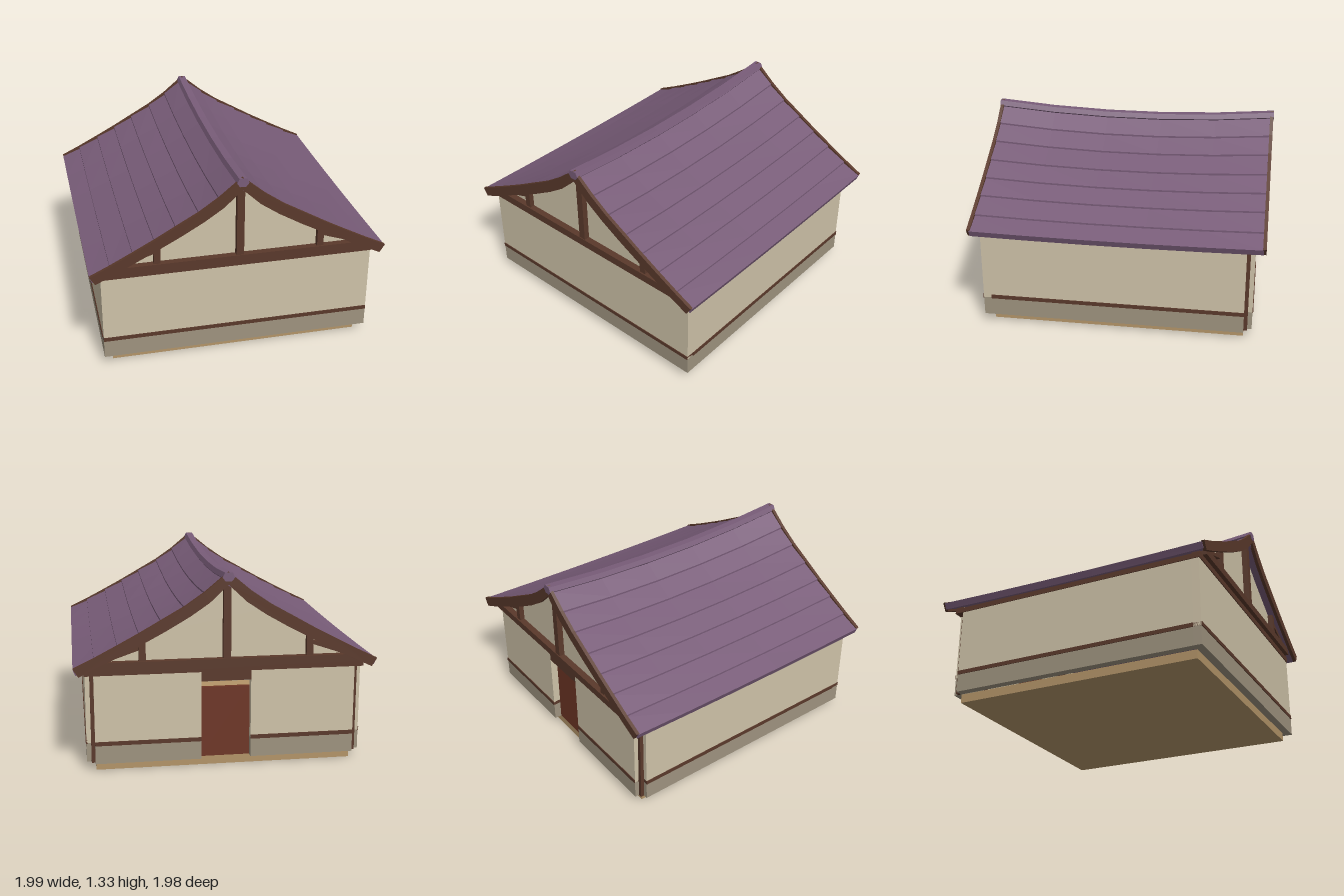
import * as THREE from 'three';

const mat = (name, color) => Object.assign(new THREE.MeshStandardMaterial({ color }), { name });

export function createModel() {
  const house = new THREE.Group();
  house.name = 'house';

  const plaster = mat('plaster', 0xcec2a8);
  const wainscot = mat('wainscot', 0x9e937f);
  const timber = mat('dark timber', 0x5a392b);
  const roofing = mat('purple roofing', 0x785c78);
  const footing = mat('footing', 0xb39468);
  const doorRed = mat('door red', 0x6e3626);

  const add = (name, geometry, material, parent = house) => {
    const m = new THREE.Mesh(geometry, material);
    m.name = name;
    parent.add(m);
    return m;
  };
  // Box given by its two extreme corners
  const block = (name, material, x0, x1, y0, y1, z0, z1, parent) => {
    const m = add(name, new THREE.BoxGeometry(x1 - x0, y1 - y0, z1 - z0), material, parent);
    m.position.set((x0 + x1) / 2, (y0 + y1) / 2, (z0 + z1) / 2);
    return m;
  };

  const OUT = 0.92, IN = 0.865;

  block('foundation', footing, -0.86, 0.86, 0, 0.06, -IN, IN);

  // Walls: dark lower panel, timber band, plaster
  const wall = (name, x0, x1, z0, z1, nx, nz) => {
    const g = new THREE.Group();
    g.name = name;
    house.add(g);
    block('lowerPanel', wainscot, x0, x1, 0.06, 0.19, z0, z1, g);
    block('plasterPanel', plaster, x0, x1, 0.19, 0.67, z0, z1, g);
    const e = 0.005;
    block('wallBand', timber,
      x0 - (nx < 0 ? e : 0), x1 + (nx > 0 ? e : 0), 0.185, 0.212,
      z0 - (nz < 0 ? e : 0), z1 + (nz > 0 ? e : 0), g);
  };
  wall('frontWall', -OUT, OUT, IN, OUT, 0, 1);
  wall('rightWall', -OUT, -IN, -IN, IN, -1, 0);
  wall('leftWall', IN, OUT, -IN, IN, 1, 0);
  wall('backWallRight', -IN, -0.165, -OUT, -IN, 0, -1);
  wall('backWallLeft', 0.165, IN, -OUT, -IN, 0, -1);

  // Recessed back doorway, open above the door
  block('door', doorRed, -0.165, 0.165, 0.06, 0.54, -0.87, -0.845);
  block('doorLintel', timber, -0.165, 0.165, 0.595, 0.67, -OUT, -IN);

  for (const s of [-1, 1]) {
    // Posts set in the notched back corners
    const c = s * 0.8775;
    block('cornerPost', timber, c - 0.0125, c + 0.0125, 0.06, 0.68, -0.89, -0.865);
    // Side wall plates
    const p = s * 0.895;
    block('wallPlate', timber, p - 0.03, p + 0.03, 0.66, 0.695, -0.925, 0.925);
  }

  // Lower edges of the roof courses, from ridge to eave
  const courses = [[0.03, 1.295], [0.15, 1.195], [0.28, 1.105], [0.43, 1.02],
    [0.57, 0.94], [0.71, 0.865], [0.86, 0.787], [0.995, 0.722]];
  const mirrored = half => [...half, ...half.slice().reverse().map(([x, y]) => [-x, y])];

  // Sweep a counter-clockwise section along z; the ridge sags more than the eaves
  const sweep = (section, zEnd) => {
    const pos = [];
    const zs = [-1, -0.6, -0.2, 0.2, 0.6, 1].map(t => t * zEnd);
    const pt = ([x, y], z) =>
      [x, y - 0.052 * (1 - 0.82 * Math.abs(x)) * (1 - (z / zEnd) ** 2), z];
    const n = section.length;
    for (let j = 0; j < zs.length - 1; j++) {
      for (let i = 0; i < n; i++) {
        const p = section[i], q = section[(i + 1) % n];
        const a = pt(p, zs[j]), b = pt(q, zs[j]), c = pt(q, zs[j + 1]), d = pt(p, zs[j + 1]);
        pos.push(...a, ...b, ...c, ...a, ...c, ...d);
      }
    }
    // End caps
    const flat = section.map(([x, y]) => new THREE.Vector2(x, y));
    for (const [a, b, c] of THREE.ShapeUtils.triangulateShape(flat, [])) {
      for (const k of [a, b, c]) pos.push(...pt(section[k], zEnd));
      for (const k of [a, c, b]) pos.push(...pt(section[k], -zEnd));
    }
    const g = new THREE.BufferGeometry();
    g.setAttribute('position', new THREE.Float32BufferAttribute(pos, 3));
    g.computeVertexNormals();
    return g;
  };

  // Stepped roof slab
  const STEP = 0.012;
  const top = [];
  courses.forEach(([x, y], i) => {
    top.push([x, y]);
    if (i < courses.length - 1) top.push([x, y - STEP]);
  });
  const under = courses.slice(1).map(([x, y]) => [x - 0.017, y - 0.042]);
  const right = [...under.slice().reverse()];
  const outline = [
    ...top.slice().reverse(),
    ...top.map(([x, y]) => [-x, y]),
    ...right.map(([x, y]) => [-x, y]),
    [0, 1.235],
    ...under,
  ];
  add('roof', sweep(outline, 0.972), roofing);

  // Ridge cap
  add('ridgeCap', sweep(mirrored([[0.02, 1.265], [0.04, 1.29], [0.025, 1.322]]), 0.991), roofing);

  // Solid cut from a flat outline, from z0 to z1
  const plate = (name, points, z0, z1, material, parent) => {
    const shape = new THREE.Shape(points.map(([x, y]) => new THREE.Vector2(x, y)));
    const g = new THREE.ExtrudeGeometry(shape, { depth: z1 - z0, bevelEnabled: false });
    g.translate(0, 0, z0);
    return add(name, g, material, parent);
  };

  // Gable ends: infill, beams, posts, braces and curved bargeboards
  const bargeTop = [[0, 1.325], ...courses.map(([x, y]) => [x, y + 0.006])];
  const bargeLow = [[0.96, 0.673], [0.83, 0.733], [0.69, 0.805], [0.545, 0.878], [0.4, 0.955],
    [0.245, 1.045], [0.12, 1.13], [0, 1.243]];
  const infill = [[0.9, 0.69], ...courses.slice(1, 7).reverse().map(([x, y]) => [x, y - 0.035]), [0, 1.25]];
  const gable = (name) => {
    const g = new THREE.Group();
    g.name = name;
    plate('gableInfill', mirrored(infill), 0.88, 0.91, plaster, g);
    block('lowerTieBeam', timber, -OUT, OUT, 0.66, 0.705, 0.87, 0.926, g);
    block('upperTieBeam', timber, -0.87, 0.87, 0.7, 0.752, 0.87, 0.955, g);
    block('kingPost', timber, -0.025, 0.025, 0.75, 1.26, 0.9, 0.95, g);
    for (const s of [-1, 1]) {
      const flip = pts => pts.map(([x, y]) => [s * x, y]);
      block('queenPost', timber, s * 0.55 - 0.022, s * 0.55 + 0.022, 0.75, 0.9, 0.9, 0.945, g);
      plate('gableBrace', flip([[0.55, 0.832], [0.79, 0.75], [0.83, 0.75], [0.8, 0.775], [0.55, 0.858]]),
        0.9, 0.94, timber, g);
      plate('bargeboard', flip([...bargeTop, ...bargeLow]), 0.965, 0.988, timber, g);
    }
    house.add(g);
    return g;
  };
  gable('frontGable');
  gable('backGable').rotation.y = Math.PI;

  return house;
}
